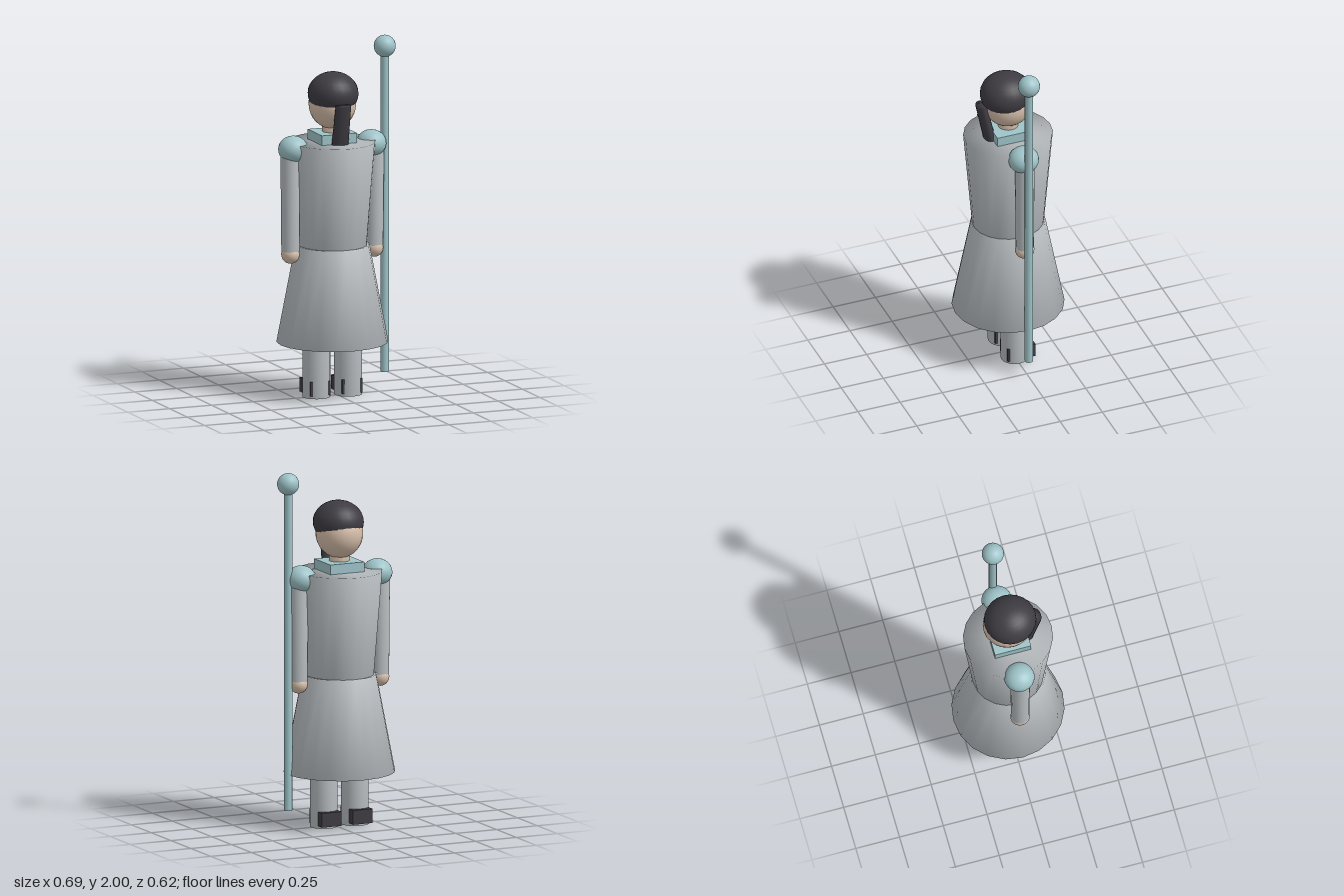
import * as THREE from 'three';
import { mergeVertices } from 'three/addons/utils/BufferGeometryUtils.js';

const mat = (name, color) => {
  const m = new THREE.MeshStandardMaterial({ color });
  m.name = name;
  return m;
};

// Weld a geometry so that shading runs smoothly over caps and seams
function weld(geo) {
  geo.deleteAttribute('uv');
  geo.deleteAttribute('normal');
  const g = mergeVertices(geo);
  g.computeVertexNormals();
  return g;
}

export function createModel() {
  const cloth = mat('greyCloth', 0xb9bec1);
  const trim = mat('paleTeal', 0x9fc4c9);
  const skin = mat('skin', 0xd8c0ab);
  const dark = mat('charcoal', 0x3e3c42);

  const model = new THREE.Group();
  model.name = 'staffBearer';
  const body = new THREE.Group();
  body.name = 'figure';
  body.position.x = -0.03;
  model.add(body);

  const add = (parent, name, geo, material, x, y, z) => {
    const mesh = new THREE.Mesh(geo, material);
    mesh.name = name;
    mesh.position.set(x, y, z);
    parent.add(mesh);
    return mesh;
  };
  // Upright tapered cylinder between two heights
  const column = (parent, name, material, rTop, rBottom, y0, y1, x = 0, z = 0, sides = 20) =>
    add(parent, name, weld(new THREE.CylinderGeometry(rTop, rBottom, y1 - y0, sides)),
      material, x, (y0 + y1) / 2, z);
  const ball = (parent, name, material, rx, ry, rz, x, y, z) => {
    const geo = new THREE.SphereGeometry(1, 24, 16).scale(rx, ry, rz);
    return add(parent, name, geo, material, x, y, z);
  };

  // Coat
  column(body, 'skirt', cloth, 0.207, 0.312, 0.305, 0.85).scale.x = 0.99;
  column(body, 'torso', cloth, 0.249, 0.2, 0.845, 1.43).scale.x = 0.95;
  add(body, 'collar', new THREE.BoxGeometry(0.208, 0.06, 0.206), trim, 0, 1.455, 0);

  // Head, facing -z
  column(body, 'neck', skin, 0.056, 0.056, 1.44, 1.55);
  ball(body, 'head', skin, 0.13, 0.14, 0.14, 0, 1.64, 0);
  ball(body, 'hair', dark, 0.14, 0.12, 0.145, 0, 1.7, 0.012);
  const tail = add(body, 'ponytail', weld(new THREE.CylinderGeometry(0.045, 0.05, 0.3, 16)
    .scale(1, 1, 0.65)), dark, 0, 1.508, 0.128);
  tail.rotation.x = 0.215;

  // Limbs, mirrored
  for (const s of [-1, 1]) {
    const side = s > 0 ? 'left' : 'right';
    ball(body, side + 'ShoulderGuard', trim, 0.083, 0.075, 0.085, s * 0.233, 1.4, 0);
    column(body, side + 'Arm', cloth, 0.055, 0.05, 0.83, 1.4, s * 0.25);
    ball(body, side + 'Hand', skin, 0.05, 0.052, 0.054, s * 0.25, 0.812, 0);
    column(body, side + 'Leg', cloth, 0.077, 0.077, 0, 0.5, s * 0.095);
    add(body, side + 'Shoe', new THREE.BoxGeometry(0.118, 0.08, 0.162), dark, s * 0.095, 0.055, -0.02);
  }

  // Staff
  const staff = new THREE.Group();
  staff.name = 'staff';
  staff.position.x = 0.283;
  model.add(staff);
  column(staff, 'staffPole', trim, 0.023, 0.023, 0.11, 1.92, 0, 0, 16);
  ball(staff, 'staffOrb', trim, 0.061, 0.061, 0.061, 0, 1.939, 0);

  return model;
}
